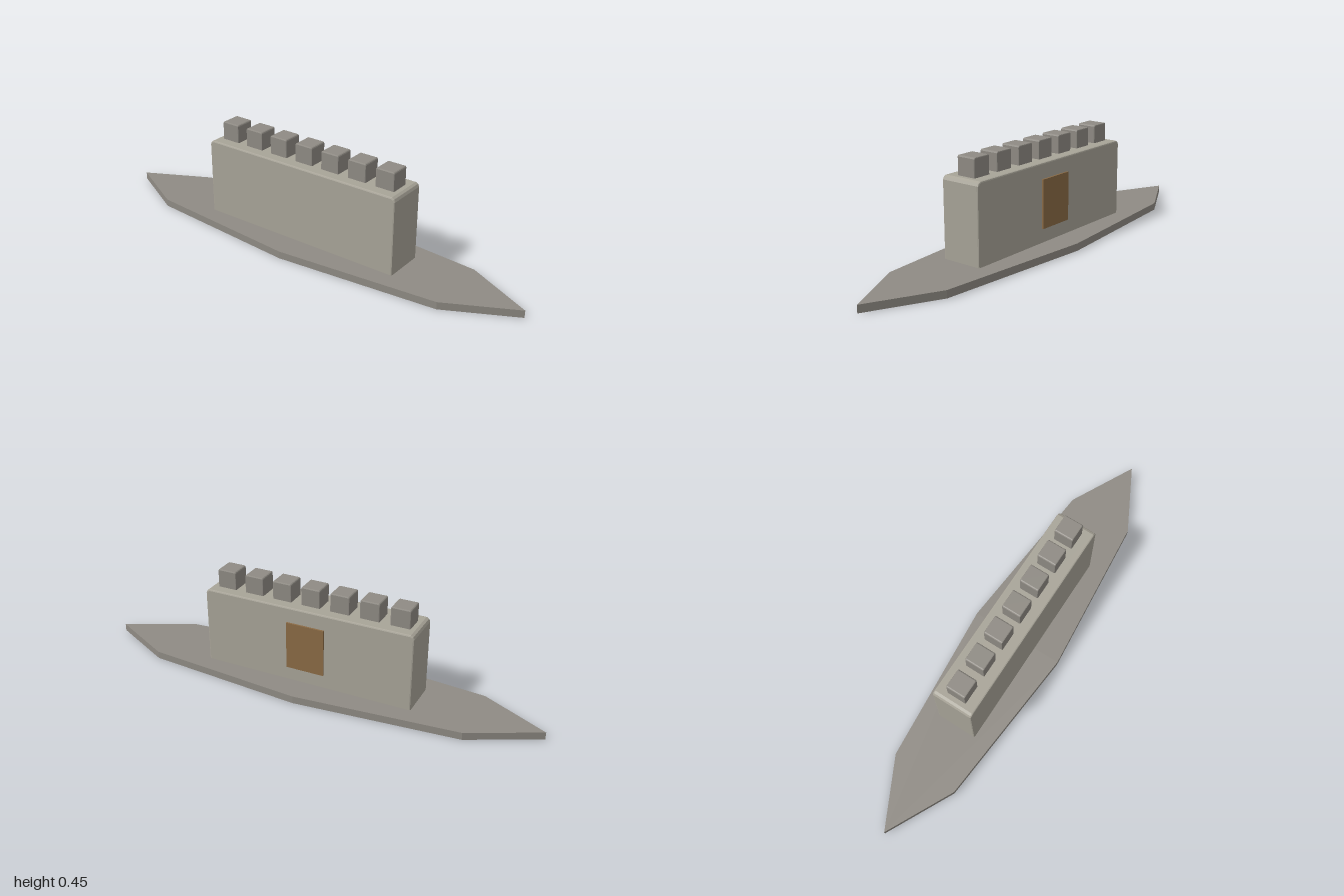
import * as THREE from 'three';

const stone = new THREE.MeshStandardMaterial({ color: 0xa8a498, flatShading: true });
const darkStone = new THREE.MeshStandardMaterial({ color: 0x8f8b84, flatShading: true });
const wood = new THREE.MeshStandardMaterial({ color: 0x8b6b45, flatShading: true });

function add(group, name, geometry, material, x = 0, y = 0, z = 0) {
  const mesh = new THREE.Mesh(geometry, material);
  mesh.name = name;
  mesh.position.set(x, y, z);
  group.add(mesh);
}

// Block standing on y = 0: cut top corners, with a fine bevel on front and back
function bevelledBlock(width, height, depth, cut, bevel) {
  const w = width / 2 - bevel, bottom = bevel, top = height - bevel;
  const outline = [
    [-w, bottom], [w, bottom], [w, top - cut], [w - cut * 0.35, top - cut * 0.35], [w - cut, top],
    [-w + cut, top], [-w + cut * 0.35, top - cut * 0.35], [-w, top - cut],
  ];
  const shape = new THREE.Shape(outline.map(([x, y]) => new THREE.Vector2(x, y)));
  const geometry = new THREE.ExtrudeGeometry(shape, {
    depth: depth - 2 * bevel, bevelThickness: bevel, bevelSize: bevel, bevelSegments: 2,
  });
  return geometry.translate(0, 0, -depth / 2 + bevel);
}

export function createModel() {
  const model = new THREE.Group();
  model.name = 'fortifiedWall';

  // Pointed eight-sided ground slab
  const plan = [[-1, 0], [-0.71, -0.148], [0, -0.21], [0.71, -0.148],
    [1, 0], [0.71, 0.148], [0, 0.21], [-0.71, 0.148]];
  const slab = new THREE.ExtrudeGeometry(
    new THREE.Shape(plan.map(([x, z]) => new THREE.Vector2(x, z))),
    { depth: 0.032, bevelEnabled: false });
  add(model, 'groundSlab', slab.rotateX(-Math.PI / 2), darkStone);

  // Main wall
  add(model, 'wall', bevelledBlock(0.945, 0.37, 0.182, 0.012, 0.006), stone);

  // Row of battlements
  const merlon = bevelledBlock(0.086, 0.084, 0.087, 0.003, 0.004);
  for (let i = -3; i <= 3; i++) {
    add(model, 'battlement', merlon, darkStone, i * 0.1313, 0.366, 0);
  }

  // Wooden door on the back
  add(model, 'door', new THREE.BoxGeometry(0.17, 0.21, 0.02), wood, 0, 0.198, -0.089);

  return model;
}
